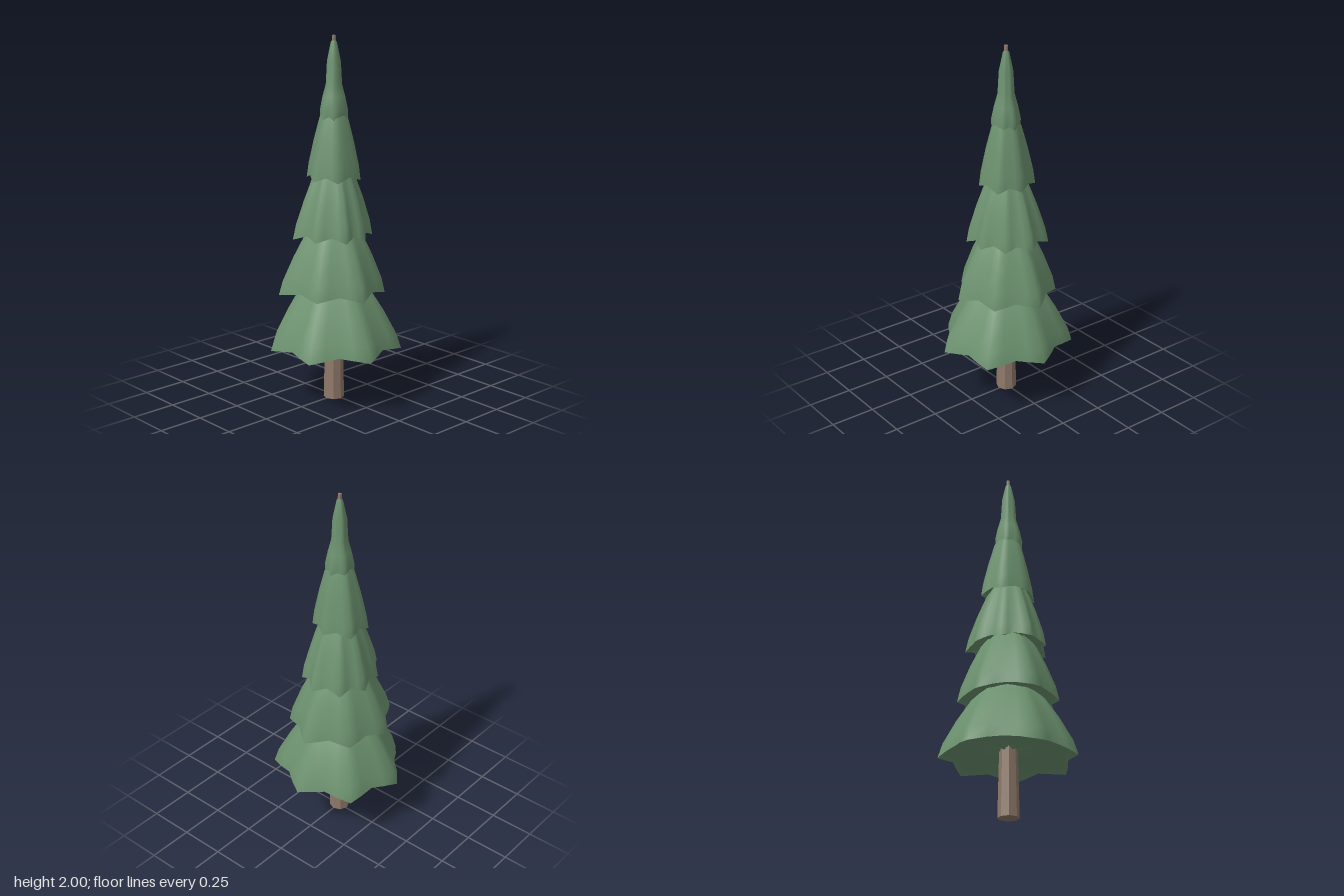
import * as THREE from 'three';

const AXIS_X = -0.008;
const STEPS = 4;

// [scale, rise] rings from rim to top
const SKIRT = [[1, 0], [0.94, 0.08], [0.76, 0.21], [0.56, 0.325], [0.3, 0.42], [0.001, 0.425]];
const CROWN = [[0.97, 0], [1, 0.06], [0.82, 0.13], [0.58, 0.2], [0.5, 0.32], [0.22, 0.42], [0.001, 0.44]];

// Branch tips of each tier as x,z pairs, from the lowest tier up
const TIER_TIPS = [
  [-0.07, -0.37, 0.23, -0.28, 0.345, 0.01, 0.215, 0.3, -0.085, 0.37, -0.34, 0.165, -0.34, -0.145],
  [-0.07, -0.285, 0.16, -0.215, 0.29, 0, 0.17, 0.215, -0.06, 0.288, -0.25, 0.13, -0.293, -0.13],
  [0.035, -0.215, 0.17, -0.15, 0.225, 0, 0.155, 0.13, 0.03, 0.205, -0.1, 0.2, -0.21, 0.075,
    -0.237, -0.075, -0.117, -0.18],
  [-0.08, -0.138, 0.065, -0.14, 0.13, 0, 0.075, 0.12, -0.09, 0.12, -0.155, 0],
  [-0.05, -0.065, 0.03, -0.068, 0.07, 0, 0.04, 0.06, -0.06, 0.06, -0.09, 0],
];

// Scalloped rim through the tips: the radius dips to a valley halfway between neighbours
function rimFromTips(tips) {
  const polar = [];
  for (let i = 0; i < tips.length; i += 2) {
    const x = tips[i] - AXIS_X, z = tips[i + 1];
    polar.push({ r: Math.hypot(x, z), a: Math.atan2(z, x) });
  }
  return polar.flatMap((p, i) => {
    const q = polar[(i + 1) % polar.length];
    const span = (q.a - p.a + Math.PI * 2) % (Math.PI * 2);
    return Array.from({ length: STEPS }, (_, k) => {
      const t = k / STEPS;
      const dip = Math.sin(Math.PI * t) ** 1.5;
      return { a: p.a + span * t, r: THREE.MathUtils.lerp(p.r, q.r, t) * (1 - 0.155 * dip), dip };
    });
  });
}

// Joins equal-sized rings of points into a smooth surface
function loft(rings) {
  const n = rings[0].length;
  const index = [];
  for (let j = 0; j < rings.length - 1; j++) {
    for (let i = 0; i < n; i++) {
      const a = j * n + i, b = j * n + (i + 1) % n;
      index.push(a, a + n, b, b, a + n, b + n);
    }
  }
  const geometry = new THREE.BufferGeometry().setFromPoints(rings.flat());
  geometry.setIndex(index);
  geometry.computeVertexNormals();
  return geometry;
}

export function createModel() {
  const green = new THREE.MeshStandardMaterial({ color: 0x6c926f, side: THREE.DoubleSide });
  green.name = 'needle green';
  const brown = new THREE.MeshStandardMaterial({ color: 0x8f796a });
  brown.name = 'bark brown';

  const tree = new THREE.Group();
  tree.name = 'pineTree';

  // Tapered, faceted trunk that pokes out at the top
  const trunkGeometry = new THREE.CylinderGeometry(0.01, 0.057, 2, 8).toNonIndexed();
  trunkGeometry.computeVertexNormals();
  const trunk = new THREE.Mesh(trunkGeometry, brown);
  trunk.name = 'trunk';
  trunk.position.set(AXIS_X, 1, 0);
  tree.add(trunk);

  TIER_TIPS.forEach((tips, t) => {
    const rim = rimFromTips(tips);
    const mean = rim.reduce((sum, p) => sum + p.r, 0) / rim.length;
    const base = 0.305 + t * 0.31;

    // Folds fade towards the top; rim valleys sit a little higher than the tips
    const ring = ([scale, rise]) => rim.map(({ r, a, dip }) => {
      const radius = scale * THREE.MathUtils.lerp(r, mean, rise * 1.3);
      const lift = 0.025 * dip * Math.max(0, 1 - rise / 0.2);
      return new THREE.Vector3(AXIS_X + Math.cos(a) * radius, base + rise + lift, Math.sin(a) * radius);
    });

    const profile = t === TIER_TIPS.length - 1 ? CROWN : SKIRT;
    const skirt = new THREE.Mesh(loft(profile.map(ring)), green);
    skirt.name = 'skirt';
    const underside = new THREE.Mesh(loft([[0.001, 0.05], [0.5, 0.045], [0.9, 0.02], profile[0]].map(ring)), green);
    underside.name = 'underside';

    const tier = new THREE.Group();
    tier.name = `branchTier${t + 1}`;
    tier.add(skirt, underside);
    tree.add(tier);
  });

  return tree;
}
